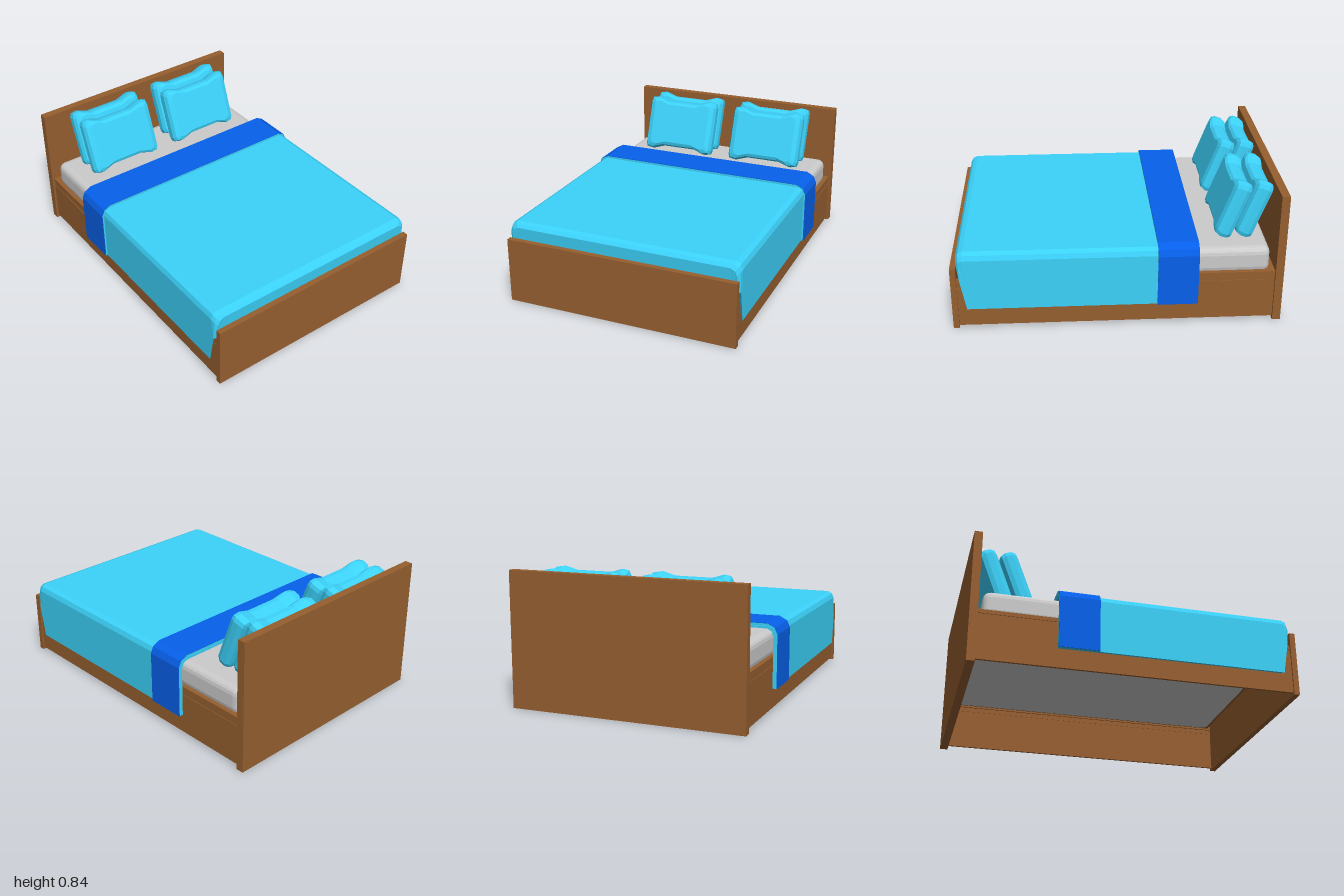
import * as THREE from 'three';
import { RoundedBoxGeometry } from 'three/addons/geometries/RoundedBoxGeometry.js';

const mat = (color) => new THREE.MeshStandardMaterial({ color, flatShading: true, side: THREE.DoubleSide });

// Skin closed rings of [x, y, z] points, facing outward for counter-clockwise rings going to -z
function loft(rings) {
  const n = rings[0].length, index = [];
  for (let i = 0; i < rings.length - 1; i++) {
    for (let j = 0; j < n; j++) {
      const a = i * n + j, b = i * n + (j + 1) % n;
      index.push(a, a + n, b, b, a + n, b + n);
    }
  }
  const g = new THREE.BufferGeometry();
  g.setAttribute('position', new THREE.Float32BufferAttribute(rings.flat(2), 3));
  g.setIndex(index);
  const flat = g.toNonIndexed();
  flat.computeVertexNormals();
  return flat;
}

// Pillow with raised corners, a dipped top and bottom and a flat panel on both faces
function pillowGeometry() {
  const quarter = [[0.252, 0], [0.252, 0.155], [0.243, 0.18], [0.2, 0.188], [0.12, 0.162]];
  const flip = (p, sx, sy) => p.map(([x, y]) => [x * sx, y * sy]);
  const outline = [
    ...quarter,
    ...flip(quarter.slice(1), -1, 1).reverse(),
    ...flip(quarter, -1, -1),
    ...flip(quarter.slice(1), 1, -1).reverse(),
  ];
  const half = [[0, 0.058], [0.83, 0.058], [0.95, 0.046], [1, 0.02]];
  const rings = [...half, ...half.map(([s, z]) => [s, -z]).reverse()];
  return loft(rings.map(([s, z]) => outline.map(([x, y]) => [x * s, y * s, z])));
}

// Blanket draped over the sides and the foot, with a real thickness
function blanketGeometry() {
  const hem = 0.14, tuck = 0.335, t = 0.014;
  const arch = ([z, w, top, flap], o) => {
    const rows = [[hem, 0], [tuck, 0], [top - 0.045, 0], [top - 0.015, 0.012], [top, 0.04]];
    const limit = [0.91, 0.945];
    const half = rows.map(([y, dx], k) => [
      (k < 2 ? 0.74 : w - dx) - o,
      k < 2 ? y : flap ? tuck : y - o,
      Math.min(z, (limit[k] ?? 0.962) - o),
    ]);
    return [...half.map(([x, y, zz]) => [-x, y, zz]), ...half.reverse()];
  };
  const stations = [
    [-0.482, 0.74, 0.515, false],
    [0.92, 0.74, 0.515, false],
    [0.947, 0.735, 0.505, false],
    [0.962, 0.72, 0.485, false],
    [0.95, 0.72, 0.485, true],
  ];
  const ring = (s) => [...arch(s, 0), ...arch(s, t).reverse()];
  const edge = (s) => [...arch(s, t), ...arch(s, t).reverse()];
  return loft([edge(stations[0]), ...stations.map(ring), edge(stations[4])]);
}

// One layer of the folded throw: an arched band extruded along the bed
function throwGeometry(inset, thickness) {
  const half = (o) => [[0.755 - o, 0.14], [0.755 - o, 0.47], [0.737 - o, 0.51], [0.69, 0.535 - o]];
  const arch = (o) => [...half(o), ...half(o).reverse().map(([x, y]) => [-x, y])];
  const pts = [...arch(inset), ...arch(inset + thickness).reverse()].map(([x, y]) => new THREE.Vector2(x, y));
  const g = new THREE.ExtrudeGeometry(new THREE.Shape(pts), { depth: 0.245, bevelEnabled: false });
  return g.translate(0, 0, -0.483);
}

export function createModel() {
  const bed = new THREE.Group();
  bed.name = 'bed';
  const wood = mat(0x965f30), linen = mat(0x3cd2fa), blue = mat(0x0660ea), grey = mat(0xcccccc);

  const add = (name, geometry, material, x = 0, y = 0, z = 0) => {
    const m = new THREE.Mesh(geometry, material);
    m.name = name;
    m.position.set(x, y, z);
    bed.add(m);
    return m;
  };
  // Box given by its minimum and maximum on each axis
  const box = (name, [x0, x1], [y0, y1], [z0, z1]) =>
    add(name, new THREE.BoxGeometry(x1 - x0, y1 - y0, z1 - z0), wood,
      (x0 + x1) / 2, (y0 + y1) / 2, (z0 + z1) / 2);

  // Frame: the rails have a shallow groove below the platform edge
  box('headboard', [-0.74, 0.74], [0, 0.84], [-1, -0.95]);
  box('footboard', [-0.735, 0.735], [0.005, 0.415], [0.965, 1]);
  box('platform', [-0.71, 0.71], [0.322, 0.334], [-0.95, 0.943]);
  for (const s of [-1, 1]) {
    const span = (a, b) => [a * s, b * s].sort((p, q) => p - q);
    box('sideRail', span(0.71, 0.725), [0.02, 0.28], [-0.95, 0.965]);
    box('railGroove', span(0.708, 0.721), [0.28, 0.31], [-0.95, 0.965]);
    box('railLedge', span(0.7, 0.725), [0.31, 0.335], [-0.95, 0.965]);
  }

  // Bedding
  add('mattress', new RoundedBoxGeometry(1.4, 0.17, 1.86, 2, 0.045), grey, 0, 0.395, 0.01);
  add('blanket', blanketGeometry(), linen);
  add('throw', throwGeometry(0, 0.004), blue);
  add('throwLining', throwGeometry(0.004, 0.014), linen);

  // Two leaning pillows on each side
  const pillow = pillowGeometry();
  for (const x of [-0.32, 0.32]) {
    for (const z of [-0.71, -0.837]) {
      add('pillow', pillow, linen, x, 0.661, z).rotation.x = -0.36;
    }
  }
  return bed;
}
